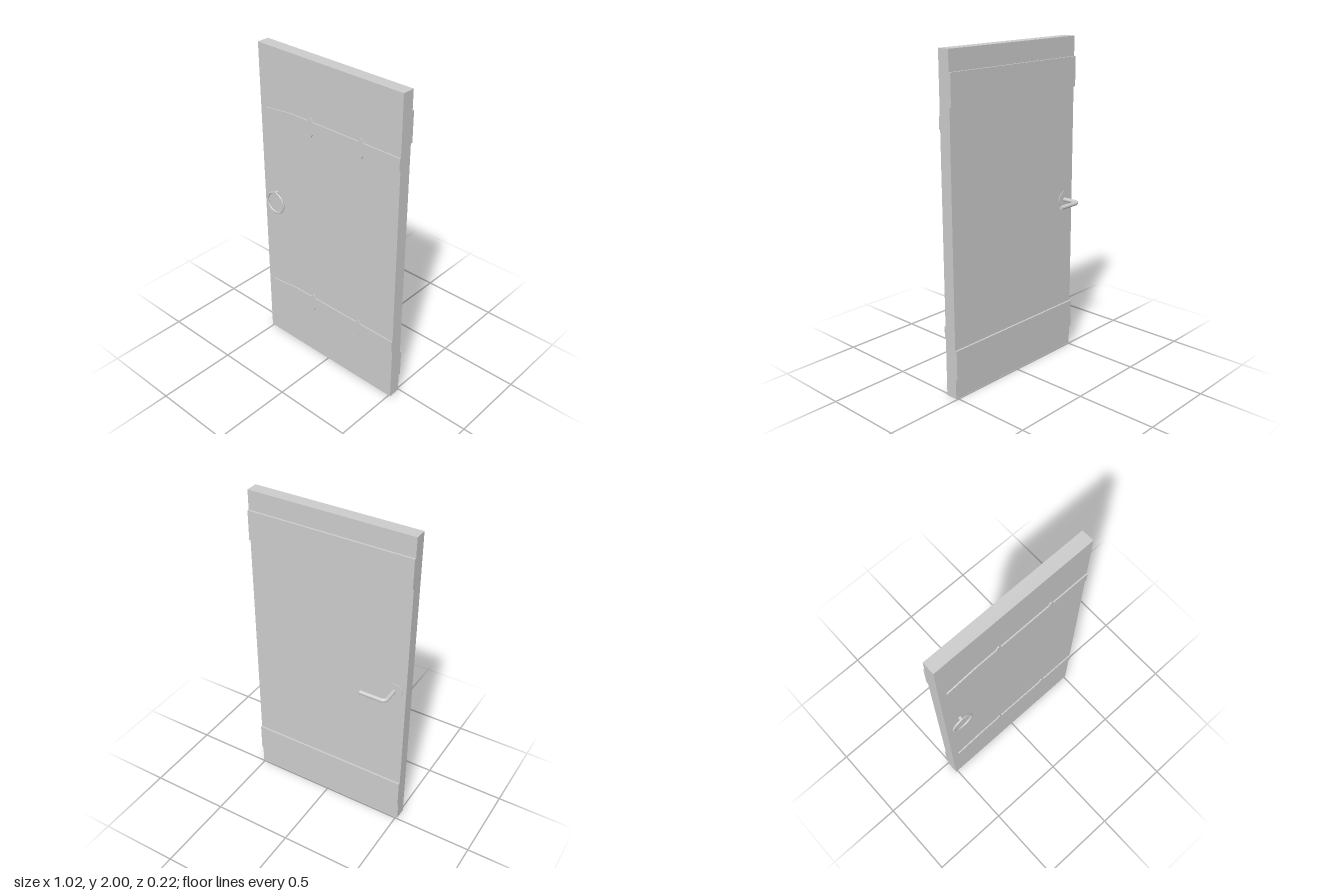
import * as THREE from 'three';

const material = new THREE.MeshStandardMaterial({ color: 0xcccccc });
const FRONT = 0.083, BACK = 0.007;

function part(name, geometry, parent, x = 0, y = 0, z = 0) {
  const mesh = new THREE.Mesh(geometry, material);
  mesh.name = name;
  mesh.position.set(x, y, z);
  parent.add(mesh);
  return mesh;
}

// Strap hinge outline: tapered tip, straight band, small pointed bumps
function strapGeometry() {
  const h = 0.037;
  const upper = [[-0.465, 0.014], [-0.265, h]];
  for (const x of [-0.117, 0.25]) {
    upper.push([x - 0.016, h], [x - 0.005, h + 0.021], [x + 0.005, h + 0.021], [x + 0.016, h]);
  }
  upper.push([0.512, h]);
  const lower = upper.map(([x, y]) => [x, -y]).reverse();
  const shape = new THREE.Shape([...upper, ...lower].map(([x, y]) => new THREE.Vector2(x, y)));
  return new THREE.ExtrudeGeometry(shape, { depth: 0.009, bevelEnabled: false });
}

export function createModel() {
  const door = new THREE.Group();
  door.name = 'door';

  // Door leaf
  part('doorLeaf', new THREE.BoxGeometry(1.024, 2, FRONT - BACK), door, 0, 1, (FRONT + BACK) / 2);

  // Cross boards on the back
  for (const y of [0.215, 1.79]) {
    part('backBoard', new THREE.BoxGeometry(1.024, 0.182, 0.012), door, 0, y, BACK - 0.006);
  }

  // Strap hinges on the front
  const strap = strapGeometry();
  for (const y of [0.397, 1.608]) part('strapHinge', strap, door, 0, y, FRONT - 0.001);

  // Ring pull with its stud
  const pull = new THREE.Group();
  pull.name = 'ringPull';
  door.add(pull);
  part('ring', new THREE.TorusGeometry(0.0665, 0.0065, 12, 64), pull, -0.41, 1.012, 0.101);
  const stud = part('ringStud', new THREE.CylinderGeometry(0.012, 0.012, 0.026, 24), pull, -0.41, 1.078, 0.095);
  stud.rotation.x = Math.PI / 2;

  // Lever handle with round backplate
  const lever = new THREE.Group();
  lever.name = 'leverHandle';
  lever.position.set(-0.437, 1.003, 0);
  door.add(lever);
  const plate = part('leverPlate', new THREE.CylinderGeometry(0.051, 0.051, 0.006, 40), lever, 0, 0, BACK - 0.002);
  plate.rotation.x = Math.PI / 2;

  const path = new THREE.CurvePath();
  const p = (x, z) => new THREE.Vector3(x, 0, z);
  path.add(new THREE.LineCurve3(p(0, BACK), p(0, -0.078)));
  path.add(new THREE.CubicBezierCurve3(p(0, -0.078), p(0, -0.092), p(0.011, -0.103), p(0.025, -0.103)));
  path.add(new THREE.LineCurve3(p(0.025, -0.103), p(0.16, -0.103)));
  part('leverRod', new THREE.TubeGeometry(path, 64, 0.013, 20), lever);
  const cap = part('leverEnd', new THREE.CircleGeometry(0.013, 20), lever, 0.16, 0, -0.103);
  cap.rotation.y = Math.PI / 2;

  return door;
}
